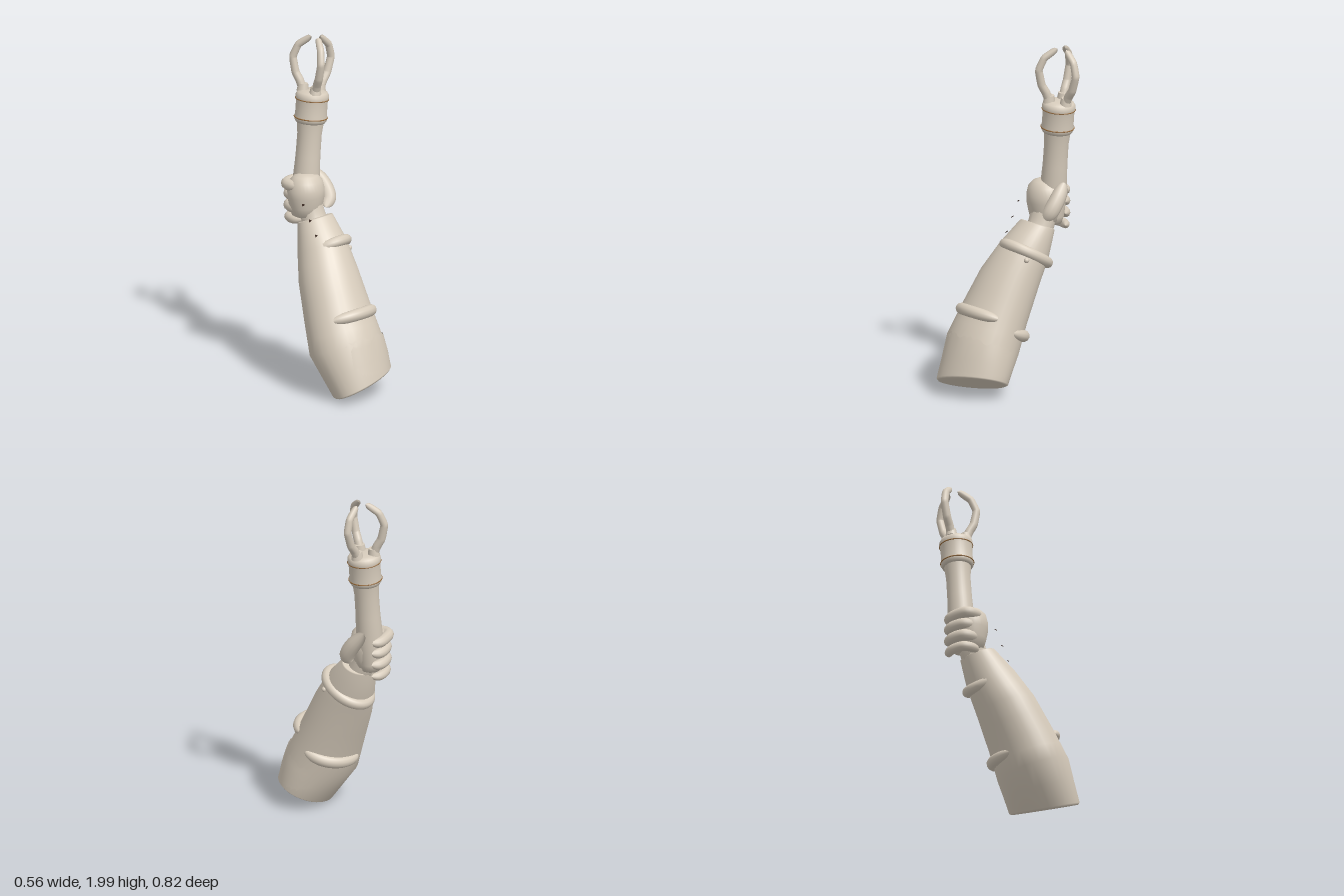
import * as THREE from 'three';

const mat = (name, color, side = THREE.FrontSide) => {
  const m = new THREE.MeshStandardMaterial({ color, side });
  m.name = name;
  return m;
};

// Sleeve sections, hem to wrist: centre x, y, z, half width, half depth in z, rise in y
const SECTIONS = [
  [-0.02, 0.078, 0.25, 0.217, 0.15, 0.06],
  [-0.05, 0.285, 0.145, 0.23, 0.185, 0.07],
  [-0.04, 0.45, 0.07, 0.21, 0.17, 0.065],
  [-0.018, 0.66, -0.03, 0.182, 0.155, 0.06],
  [0.012, 0.81, -0.11, 0.149, 0.13, 0.06],
  [0.036, 0.955, -0.19, 0.11, 0.088, 0.035],
];

// Point on the sleeve: row number t, angle a, growth factor g
function sleevePoint(t, a, g = 1) {
  const i = Math.min(Math.floor(t), SECTIONS.length - 2), f = t - i;
  const [cx, cy, cz, rx, hz, hy] = SECTIONS[i].map((v, k) => v + (SECTIONS[i + 1][k] - v) * f);
  const c = Math.cos(a) * g, s = Math.sin(a) * g;
  const skew = Math.max(0, 1 - t); // the hem slants across the body
  return [cx + rx * c, cy + hy * s + 0.04 * c * skew, cz + hz * s - 0.04 * c * skew];
}

// Surface through closed rings of points
function loft(rows, sides, pointAt) {
  const pos = [], idx = [];
  for (let r = 0; r <= rows; r++)
    for (let s = 0; s < sides; s++) pos.push(...pointAt(r, (s / sides) * Math.PI * 2, s));
  for (let r = 0; r < rows; r++)
    for (let s = 0; s < sides; s++) {
      const n = (s + 1) % sides, p = r * sides;
      idx.push(p + s, p + sides + s, p + n, p + n, p + sides + s, p + sides + n);
    }
  const g = new THREE.BufferGeometry();
  g.setAttribute('position', new THREE.Float32BufferAttribute(pos, 3));
  g.setIndex(idx);
  g.computeVertexNormals();
  return g;
}

// Tube along points with rounded ends; a higher power gives blunter ends,
// a lower tension gives straighter pieces between the points
function limb(points, radius, { power = 6, endScale = 1, tension = 0.5 } = {}) {
  const curve = new THREE.CatmullRomCurve3(points.map((p) => new THREE.Vector3(...p)), false, 'catmullrom', tension);
  const segs = 30, sides = 12;
  const g = new THREE.TubeGeometry(curve, segs, 1, sides);
  const pos = g.attributes.position, v = new THREE.Vector3();
  for (let i = 0; i <= segs; i++) {
    const t = i / segs, c = curve.getPointAt(t);
    const taper = 1 + (endScale - 1) * t;
    const r = radius * taper * Math.sqrt(Math.max(0, 1 - Math.abs(2 * t - 1) ** power));
    for (let j = 0; j <= sides; j++) {
      const k = i * (sides + 1) + j;
      v.fromBufferAttribute(pos, k).sub(c).multiplyScalar(r).add(c);
      pos.setXYZ(k, v.x, v.y, v.z);
    }
  }
  return g;
}

// Arc of strap lying on the sleeve, its ends sinking into the cloth
function strapArc(t, from, to, grow) {
  const points = [];
  for (let i = 0; i <= 8; i++) {
    const u = i / 8;
    points.push(sleevePoint(t, from + (to - from) * u, grow + 0.08 * Math.sin(Math.PI * u)));
  }
  return limb(points, 0.035, { power: 4 });
}

export function createModel() {
  const model = new THREE.Group();
  const beige = mat('beige', 0xd6cbbb, THREE.DoubleSide);
  const brass = mat('brass brown', 0x966a3a);
  const dark = mat('dark brown', 0x3a2820, THREE.DoubleSide);
  const add = (name, geometry, material = beige, parent = model) => {
    const m = new THREE.Mesh(geometry, material);
    m.name = name;
    parent.add(m);
    return m;
  };

  // Sleeve with softly closed ends: pairs of row number and growth
  const rows = [[0, 0], [0, 0.6], [0, 0.95], [0.04, 1], [0.5, 1], [1, 1], [1.5, 1], [2, 1], [2.5, 1],
    [3, 1], [3.5, 1], [4, 1], [4.5, 1], [4.97, 1], [5, 0.95], [5, 0]];
  add('sleeve', loft(rows.length - 1, 32, (r, a) => sleevePoint(rows[r][0], a, rows[r][1])));

  // Ragged outer cuff, proud of the sleeve on the front and left only
  const jag = [0, 0.08, 0.1, 0.03, 0.12, 0.05, 0.09, -0.02];
  add('raggedCuff', loft(3, 64, (r, a, s) => {
    const grow = 0.99 + 0.04 * Math.max(0, Math.cos(a - 0.85)) * Math.min(1, r);
    return sleevePoint([0.05, 0.5, 0.9, 1.03 + jag[s % 8]][r], a, grow);
  }));

  // Upper strap ring, sunk into the sleeve on the right
  const ring = [];
  for (let i = 0; i < 20; i++) {
    const a = (i / 20) * Math.PI * 2;
    ring.push(new THREE.Vector3(0.032 + 0.12 * Math.cos(a), 0.795 + 0.072 * Math.sin(a), -0.107 + 0.125 * Math.sin(a)));
  }
  add('upperStrap', new THREE.TubeGeometry(new THREE.CatmullRomCurve3(ring, true), 48, 0.031, 12, true));

  // Lower strap, showing as two arcs
  add('lowerStrapFront', strapArc(1.9, 2.45, 0.6, 0.95));
  add('lowerStrapBack', strapArc(1.6, 0.05, -1.9, 0.92));

  // Button
  add('button', new THREE.SphereGeometry(0.016, 12, 8)).position.set(0.142, 0.79, -0.02);

  // Lathe from pairs of radius and height
  const lathe = (pts) => new THREE.LatheGeometry(pts.map(([r, y]) => new THREE.Vector2(r, y)), 32);

  // Hand
  const hand = new THREE.Group();
  hand.name = 'hand';
  model.add(hand);
  add('wrist', limb([[0.04, 0.84, -0.14], [0.04, 0.95, -0.21], [0.035, 1.1, -0.26]], 0.078), beige, hand);
  const palm = add('palm', lathe([[0, 0.945], [0.05, 0.95], [0.085, 0.97], [0.1, 1.02], [0.112, 1.08],
    [0.112, 1.12], [0.1, 1.17], [0.07, 1.2], [0.04, 1.212], [0, 1.215]]), beige, hand);
  palm.scale.z = 0.92;
  palm.position.set(0.025, 0, -0.252);
  add('thumb', limb([[0.115, 1.0, -0.185], [0.15, 1.05, -0.195], [0.155, 1.12, -0.24], [0.135, 1.2, -0.305]],
    0.05, { power: 3, endScale: 0.85 }), beige, hand);
  [1.15, 1.085, 1.015, 0.945].forEach((y, i) => {
    const x = i === 0 ? -0.062 : -0.042;
    add('finger', limb([[x + 0.02, y, -0.23], [x, y, -0.28], [x + 0.015, y, -0.335],
      [0.03, y - 0.005, -0.362], [0.075, y - 0.01, -0.36], [0.105, y - 0.01, -0.335]],
      i === 3 ? 0.028 : 0.033, { power: 5 }), beige, hand);
  });

  // Baton, leaning slightly to the left
  const baton = new THREE.Group();
  baton.name = 'baton';
  baton.position.set(0.04, 0.95, -0.285);
  baton.rotation.z = -0.1;
  model.add(baton);
  add('shaft', lathe([[0, 0], [0.06, 0.005], [0.072, 0.05], [0.078, 0.2], [0.071, 0.35], [0.07, 0.48], [0.078, 0.56]]), beige, baton);
  add('collar', lathe([[0, 0.55], [0.084, 0.55], [0.093, 0.565], [0.095, 0.58], [0.091, 0.6], [0.091, 0.67],
    [0.096, 0.69], [0.096, 0.71], [0.086, 0.728], [0.06, 0.738], [0, 0.738]]), beige, baton);
  for (const y of [0.578, 0.688]) {
    const trim = add('collarTrim', new THREE.TorusGeometry(0.0945, 0.0035, 8, 48), brass, baton);
    trim.rotation.x = Math.PI / 2;
    trim.position.y = y;
  }

  // Three angular claws with sockets
  for (let i = 0; i < 3; i++) {
    const claw = new THREE.Group();
    claw.name = 'claw';
    claw.rotation.y = (i * Math.PI * 2) / 3;
    baton.add(claw);
    const socket = add('clawSocket', new THREE.CylinderGeometry(0.028, 0.036, 0.045, 14), beige, claw);
    socket.position.set(0.058, 0.748, 0);
    add('prong', limb([[0.052, 0.72, 0], [0.08, 0.785, 0], [0.108, 0.83, 0], [0.13, 0.92, 0], [0.102, 0.995, 0], [0.03, 1.052, 0]],
      0.026, { power: 14, endScale: 0.75, tension: 0.15 }), beige, claw);
  }

  // Tiny floating hearts beside the wrist
  const heart = new THREE.Shape();
  heart.moveTo(0, -0.009);
  heart.bezierCurveTo(-0.014, 0.002, -0.007, 0.012, 0, 0.005);
  heart.bezierCurveTo(0.007, 0.012, 0.014, 0.002, 0, -0.009);
  const heartGeo = new THREE.ExtrudeGeometry(heart, { depth: 0.002, bevelEnabled: false, curveSegments: 6 });
  [[-0.095, 1.07, -0.155], [-0.09, 0.985, -0.105], [-0.085, 0.905, -0.06]].forEach((p) => {
    const h = add('heart', heartGeo, dark);
    h.position.set(...p);
    h.lookAt(p[0] - 0.7, p[1] + 0.7, p[2] + 0.2);
  });

  return model;
}
